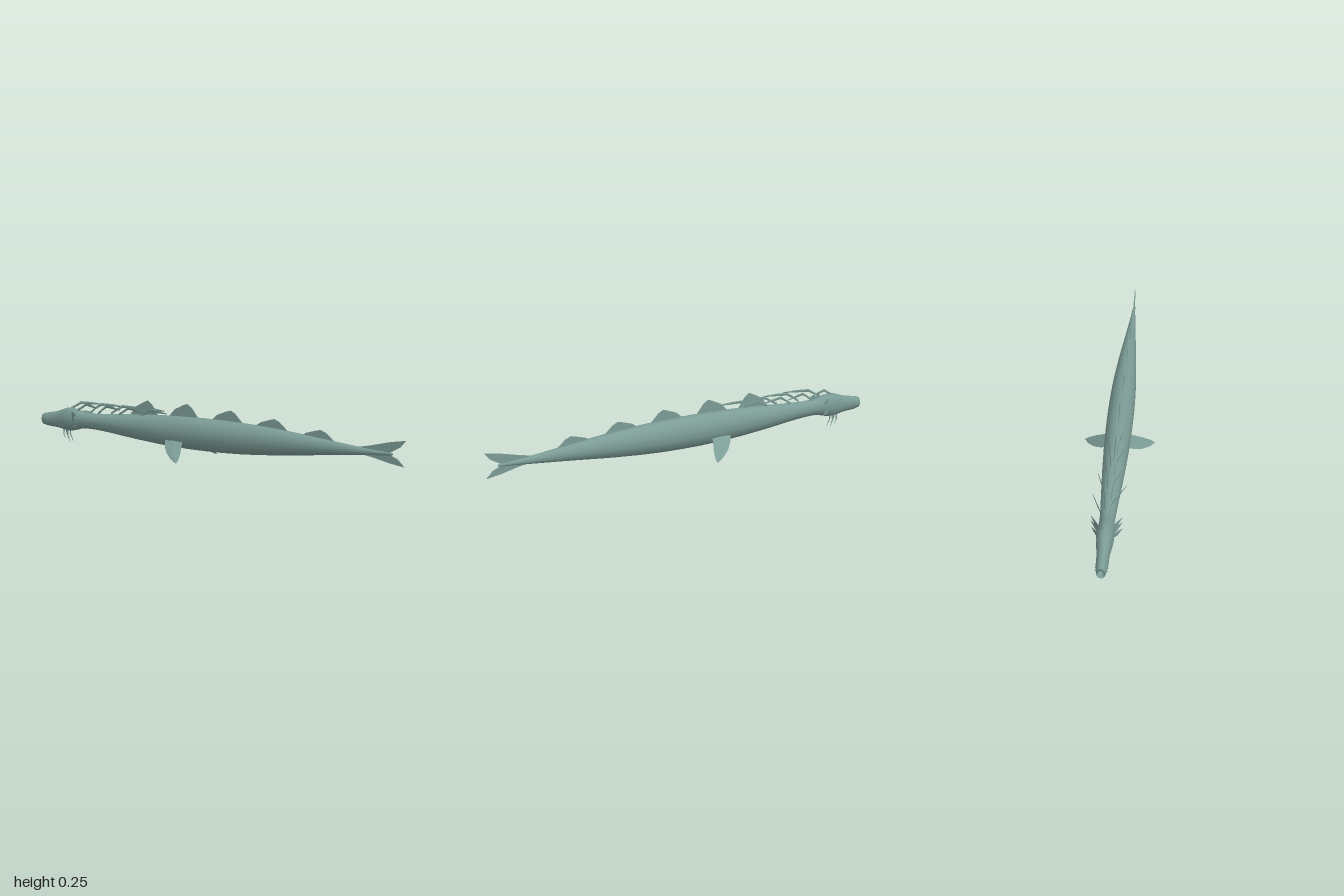
import * as THREE from 'three';

const V = (x, y, z) => new THREE.Vector3(x, y, z);

// Joins equal-length loops of points into a closed skin
function loft(rings) {
  const n = rings[0].length, pos = [], idx = [];
  rings.forEach(r => r.forEach(p => pos.push(p.x, p.y, p.z)));
  for (let i = 0; i < rings.length - 1; i++) {
    for (let j = 0; j < n; j++) {
      const a = i * n + j, b = i * n + (j + 1) % n;
      idx.push(a, b, a + n, b, b + n, a + n);
    }
  }
  const g = new THREE.BufferGeometry();
  g.setAttribute('position', new THREE.Float32BufferAttribute(pos, 3));
  g.setIndex(idx);
  g.computeVertexNormals();
  return g;
}

// Thin diamond-section blade: stations are [centre, half chord length]
function blade(stations, chord, thick) {
  const rings = stations.map(([c, h]) => [
    c.clone().addScaledVector(chord, h), c.clone().add(thick),
    c.clone().addScaledVector(chord, -h), c.clone().sub(thick)]);
  const g = loft(rings).toNonIndexed();
  g.computeVertexNormals();
  return g;
}

// Flat plate in the z-y plane, centred on x = 0
function plate(points, t = 0.004) {
  const shape = new THREE.Shape(points.map(p => new THREE.Vector2(...p)));
  const g = new THREE.ExtrudeGeometry(shape, { depth: t, bevelEnabled: false });
  return g.translate(0, 0, -t / 2).rotateY(-Math.PI / 2);
}

// Body profile: z, top, bottom, half width
const PROFILE = [
  [-0.995, 0.138, 0.084, 0.019], [-0.96, 0.146, 0.077, 0.024], [-0.9, 0.157, 0.074, 0.026],
  [-0.83, 0.179, 0.064, 0.035], [-0.78, 0.179, 0.07, 0.036], [-0.72, 0.165, 0.083, 0.031],
  [-0.6, 0.165, 0.08, 0.037], [-0.4, 0.179, 0.06, 0.049], [-0.2, 0.189, 0.045, 0.057],
  [0, 0.192, 0.04, 0.06], [0.2, 0.188, 0.045, 0.057], [0.4, 0.176, 0.06, 0.046],
  [0.6, 0.156, 0.081, 0.03], [0.8, 0.135, 0.101, 0.014], [0.94, 0.124, 0.114, 0.004]];

function bodyGeometry() {
  const ring = (z, top, bottom, w) => Array.from({ length: 14 }, (_, j) => {
    const a = Math.PI / 2 + j / 14 * Math.PI * 2;
    return V(w * Math.cos(a), (top + bottom) / 2 + (top - bottom) / 2 * Math.sin(a), z);
  });
  const heights = new THREE.CatmullRomCurve3(PROFILE.map(p => V(p[0], p[1], p[2])), false, 'catmullrom');
  const widths = new THREE.CatmullRomCurve3(PROFILE.map(p => V(p[0], p[3], 0)), false, 'catmullrom');
  // Mouth hollow and rounded lip at the snout
  const rings = [ring(-0.965, 0.108, 0.108, 0), ring(-0.975, 0.116, 0.098, 0.011), ring(-1, 0.129, 0.091, 0.014)];
  for (let i = 0; i <= 42; i++) {
    const h = heights.getPoint(i / 42), w = widths.getPoint(i / 42);
    rings.push(ring(h.x, h.y, h.z, w.y));
  }
  rings.push(ring(0.945, 0.119, 0.119, 0));
  return loft(rings);
}

export function createModel() {
  const model = new THREE.Group();
  model.name = 'seaSerpent';
  const skin = new THREE.MeshStandardMaterial({ color: 0x7c9c96, side: THREE.DoubleSide });
  skin.name = 'greyGreenSkin';
  const add = (name, geo) => {
    const m = new THREE.Mesh(geo, skin);
    m.name = name;
    model.add(m);
    return m;
  };

  add('body', bodyGeometry());

  // Row of dorsal fins: peak z, base y, peak y
  [[0.59, 0.15, 0.19], [0.36, 0.175, 0.218], [0.13, 0.186, 0.238],
    [-0.11, 0.186, 0.25], [-0.34, 0.178, 0.25]].forEach(([z, base, top]) => {
    const h = top - base;
    add('dorsalFin', plate([[z - 0.09, base], [z - 0.055, base + h * 0.55], [z - 0.005, base + h * 0.9],
      [z + 0.015, top], [z + 0.04, base + h * 0.75], [z + 0.085, base - 0.006]]));
  });

  // Forked upright tail
  add('upperTailLobe', plate([[0.74, 0.126], [0.84, 0.146], [0.92, 0.166], [1, 0.18], [0.975, 0.15], [0.92, 0.119], [0.8, 0.118]]));
  add('lowerTailLobe', plate([[0.76, 0.112], [0.8, 0.119], [0.92, 0.119], [0.965, 0.1], [0.995, 0.07], [0.93, 0.08], [0.85, 0.098]]));

  for (const s of [1, -1]) {
    // Pectoral fins sweeping down and back
    add('pectoralFin', blade([
      [V(s * 0.04, 0.086, -0.142), 0.05], [V(s * 0.075, 0.061, -0.122), 0.048],
      [V(s * 0.11, 0.037, -0.095), 0.04], [V(s * 0.14, 0.016, -0.066), 0.024],
      [V(s * 0.16, 0.002, -0.042), 0.002]], V(0, 0, 1), V(s * 0.0015, 0.0025, 0)));

    // Spiked frill behind the head
    [[0.15, 0.157], [0.13, 0.131], [0.105, 0.096]].forEach(([y, tip]) =>
      add('frillSpike', blade([[V(s * 0.026, y, -0.785), 0.012], [V(s * 0.046, (y + tip) / 2, -0.755), 0.012],
        [V(s * 0.063, tip, -0.725), 0.001]], V(0, 1, 0), V(0.0015, 0, 0.001))));

    // Chin barbels
    [[-0.815, 0.01], [-0.84, 0.025]].forEach(([z, tip]) =>
      add('chinBarbel', blade([[V(s * 0.009, 0.078, z - 0.01), 0.005], [V(s * 0.011, 0.045, z - 0.012), 0.004],
        [V(s * 0.013, tip, z + 0.004), 0.001]], V(0, 0, 1), V(0.001, 0, 0))));

    // Small teeth along the jaw
    for (let i = 0; i < 6; i++) {
      const tooth = new THREE.ConeGeometry(0.002, 0.007, 4).rotateX(Math.PI);
      add('tooth', tooth).position.set(s * 0.0245, 0.101, -0.975 + i * 0.018);
    }

    // Eyes as shallow raised beads
    const eye = new THREE.SphereGeometry(0.005, 8, 6).scale(0.6, 1, 1.4);
    add('eye', eye).position.set(s * 0.027, 0.149, -0.855);
  }

  // Bent mane spines, alternating sides
  for (let i = 0; i < 8; i++) {
    const s = i % 2 ? -1 : 1, z = -0.825 + i * 0.066;
    const spread = (i % 2 ? 0.075 : 0.063) - i * 0.005;
    const root = i < 2 ? 0.172 : 0.156 + i * 0.003;
    add('maneSpine', blade([
      [V(s * 0.01, root, z), 0.006], [V(s * 0.013, 0.19, z + 0.035), 0.006],
      [V(s * 0.019, 0.207, z + 0.065), 0.007], [V(s * (spread + 0.02) / 2, 0.205, z + 0.12), 0.006],
      [V(s * spread, 0.201, z + 0.18), 0.002]], V(0, 1, 0), V(0.0015, 0, 0)));
  }

  return model;
}
